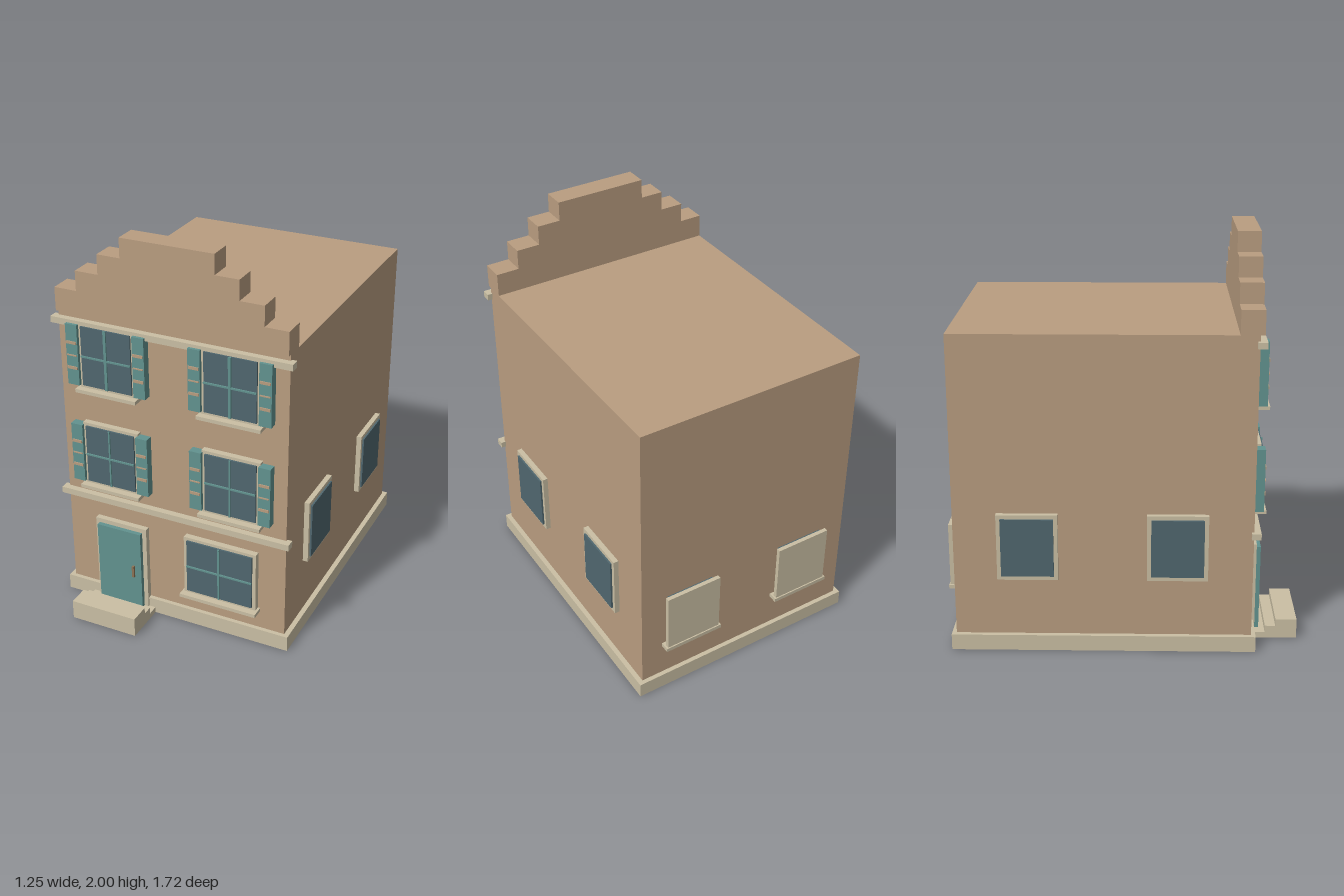
import * as THREE from 'three';

const mat = (name, color) => {
  const m = new THREE.MeshStandardMaterial({ color });
  m.name = name;
  return m;
};

export function createModel() {
  const wall = mat('wall', 0xb99d80);
  const trim = mat('trim', 0xcabfa4);
  const teal = mat('teal paint', 0x62938f);
  const glass = mat('glass', 0x50676f);
  const bronze = mat('bronze', 0x8d7355);

  const house = new THREE.Group();
  house.name = 'townHouse';

  // Box given by its two opposite corners
  function box(parent, name, material, x0, x1, y0, y1, z0, z1) {
    const mesh = new THREE.Mesh(new THREE.BoxGeometry(x1 - x0, y1 - y0, z1 - z0), material);
    mesh.position.set((x0 + x1) / 2, (y0 + y1) / 2, (z0 + z1) / 2);
    mesh.name = name;
    parent.add(mesh);
    return mesh;
  }

  function group(name, x = 0, y = 0, z = 0) {
    const g = new THREE.Group();
    g.name = name;
    g.position.set(x, y, z);
    house.add(g);
    return g;
  }

  // Main volume, plinth and horizontal mouldings
  box(house, 'body', wall, -0.592, 0.592, 0.01, 1.585, -0.815, 0.627);
  box(house, 'plinth', trim, -0.617, 0.617, 0, 0.08, -0.837, 0.648);
  box(house, 'floorBand', trim, -0.617, 0.617, 0.59, 0.622, 0.615, 0.66);
  box(house, 'cornice', trim, -0.617, 0.617, 1.525, 1.557, 0.615, 0.66);

  // Stepped gable: one extruded outline
  const steps = [[0.592, 1.585, 1.703], [0.475, 1.703, 1.803], [0.355, 1.803, 1.902], [0.236, 1.902, 2.0]];
  const half = steps.flatMap(([x, y0, y1]) => [[x, y0], [x, y1]]);
  const outline = [...half, ...half.map(([x, y]) => [-x, y]).reverse()];
  const gableShape = new THREE.Shape(outline.map(([x, y]) => new THREE.Vector2(x, y)));
  const gable = new THREE.Mesh(
    new THREE.ExtrudeGeometry(gableShape, { depth: 0.113, bevelEnabled: false }), wall);
  gable.position.z = 0.535;
  gable.name = 'steppedGable';
  house.add(gable);

  // Front window, centred on its group's origin at the wall face
  function frontWindow(name, x, y, w, h, barWidth) {
    const g = group(name, x, y, 0.627);
    box(g, 'frame', trim, -w / 2, w / 2, -h / 2, h / 2, -0.01, 0.031);
    const gw = w / 2 - 0.018, gh = h / 2 - 0.015;
    box(g, 'pane', glass, -gw, gw, -gh, gh, 0.031, 0.04);
    box(g, 'verticalBar', teal, -barWidth / 2, barWidth / 2, -gh, gh, 0.04, 0.047);
    box(g, 'horizontalBar', teal, -gw, gw, -0.004, 0.004, 0.04, 0.047);
    box(g, 'sill', trim, -w / 2 - 0.012, w / 2 + 0.012, -h / 2 - 0.018, -h / 2, -0.01, 0.064);
    return g;
  }

  // Upper windows with louvred shutters
  for (const [floor, y, bar] of [['middle', 0.857, 0.008], ['top', 1.384, 0.014]]) {
    for (const [side, x] of [['Right', -0.322], ['Left', 0.318]]) {
      const g = frontWindow(`${floor}${side}Window`, x, y, 0.3, 0.335, bar);
      for (const s of [-1, 1]) {
        const cx = s * 0.177;
        box(g, 'shutter', teal, cx - 0.031, cx + 0.031, -0.155, 0.157, 0.005, 0.048);
        for (const dy of [-0.065, 0, 0.065]) {
          const t = dy ? 0.007 : 0.003;
          box(g, 'shutterSlat', wall, cx - 0.026, cx + 0.026, dy - t, dy + t, 0.048, 0.053);
        }
      }
    }
  }

  // Ground floor front window
  frontWindow('groundWindow', 0.258, 0.355, 0.385, 0.32, 0.009);

  // Door with surround and handle
  const door = group('frontDoor');
  box(door, 'doorSurround', trim, -0.43, -0.145, 0.02, 0.49, 0.615, 0.656);
  box(door, 'doorLeaf', teal, -0.41, -0.168, 0.02, 0.467, 0.62, 0.678);
  box(door, 'doorHandle', bronze, -0.216, -0.204, 0.212, 0.275, 0.678, 0.69);

  // Stoop, highest at its outer edge
  const stoop = group('stoop');
  for (const [h, z0, z1] of [[0.03, 0.648, 0.706], [0.065, 0.706, 0.758], [0.1, 0.758, 0.863]]) {
    box(stoop, 'stoopStep', trim, -0.465, -0.11, 0, h, z0, z1);
  }

  // Side windows on both flanks
  for (const s of [-1, 1]) {
    for (const z of [0.263, -0.457]) {
      const g = group(s > 0 ? 'leftSideWindow' : 'rightSideWindow', s * 0.592, 0.543, z);
      g.rotation.y = s * Math.PI / 2;
      box(g, 'frame', trim, -0.147, 0.147, -0.167, 0.167, -0.01, 0.026);
      box(g, 'pane', glass, -0.127, 0.127, -0.145, 0.147, 0.026, 0.035);
    }
  }

  // Back windows closed by blank panels with sills
  for (const x of [-0.322, 0.322]) {
    const g = group('backWindow', x, 0, -0.815);
    box(g, 'pane', glass, -0.128, 0.128, 0.29, 0.58, -0.02, 0.005);
    box(g, 'panel', trim, -0.147, 0.147, 0.28, 0.597, -0.041, -0.02);
    box(g, 'sill', trim, -0.157, 0.157, 0.26, 0.28, -0.047, 0.005);
  }

  return house;
}
